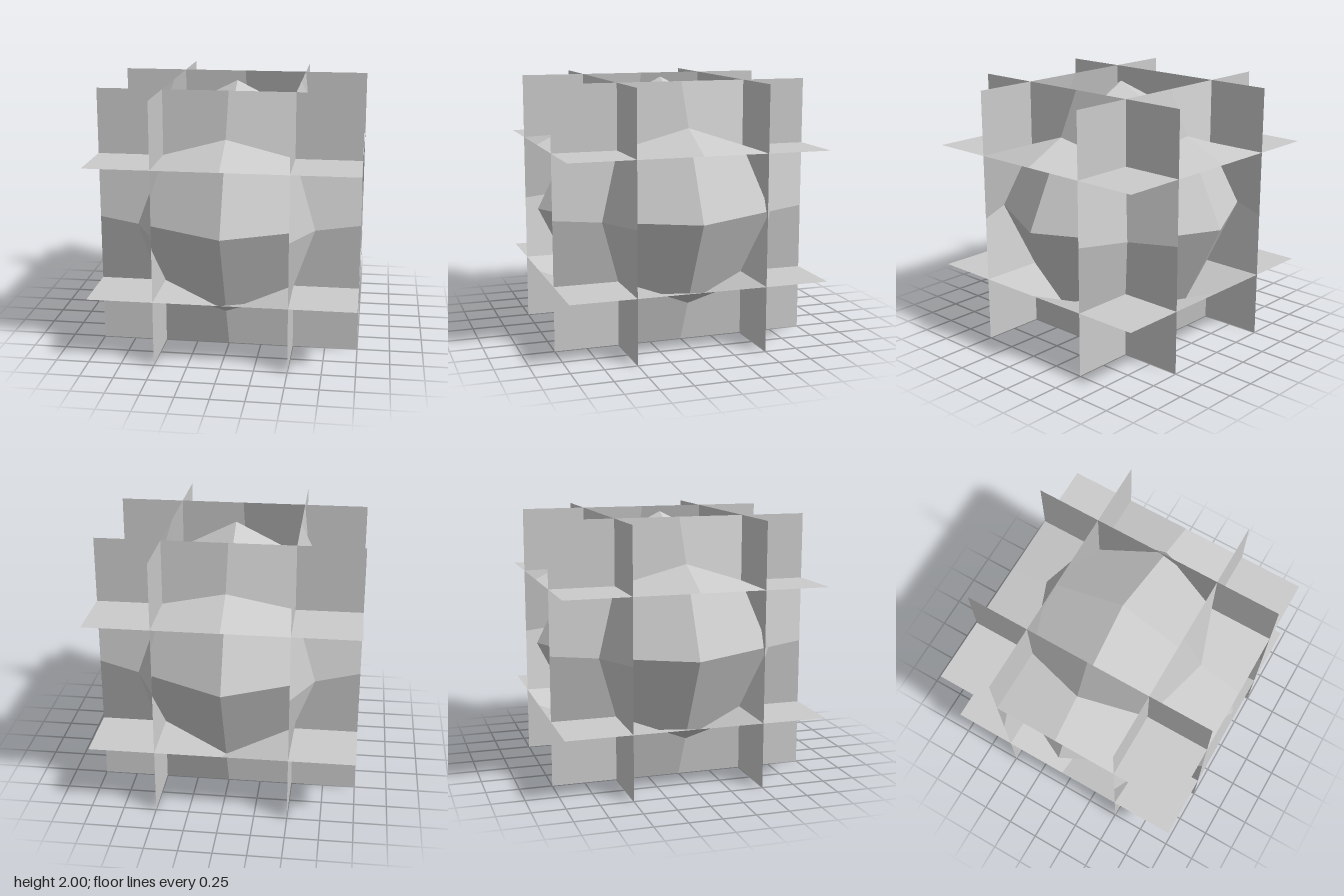
import * as THREE from 'three';

// Grid point of a panel facing +z: flat at 0.5, with the middle pushed out to a peak.
function panelPoint(i, j) {
  const u = i / 2, v = j / 2;
  if (i === 0 && j === 0) return new THREE.Vector3(0, 0, 1);
  if (Math.abs(i) + Math.abs(j) === 1) return new THREE.Vector3(u * 4 / 3, v * 4 / 3, 2 / 3);
  return new THREE.Vector3(u, v, 0.5);
}

// 4 x 4 facets, each split around its middle and shaded with one normal.
function panelGeometry() {
  const positions = [], normals = [];
  for (let i = -2; i < 2; i++) {
    for (let j = -2; j < 2; j++) {
      const c = [panelPoint(i, j), panelPoint(i + 1, j), panelPoint(i + 1, j + 1), panelPoint(i, j + 1)];
      const mid = new THREE.Vector3();
      c.forEach((p) => mid.addScaledVector(p, 0.25));
      const normal = c[2].clone().sub(c[0]).cross(c[3].clone().sub(c[1])).normalize();
      c.forEach((p, k) => {
        for (const q of [p, c[(k + 1) % 4], mid]) {
          positions.push(q.x, q.y, q.z);
          normals.push(normal.x, normal.y, normal.z);
        }
      });
    }
  }
  const geometry = new THREE.BufferGeometry();
  geometry.setAttribute('position', new THREE.Float32BufferAttribute(positions, 3));
  geometry.setAttribute('normal', new THREE.Float32BufferAttribute(normals, 3));
  return geometry;
}

export function createModel() {
  const model = new THREE.Group();
  model.name = 'interlockedPanels';
  const material = new THREE.MeshStandardMaterial({ color: 0xcccccc, side: THREE.DoubleSide });
  const geometry = panelGeometry();

  // Six crossing panels, one for each direction; their peaks close the core.
  const turns = {
    frontPanel: [0, 0], leftPanel: [0, Math.PI / 2], backPanel: [0, Math.PI],
    rightPanel: [0, -Math.PI / 2], topPanel: [-Math.PI / 2, 0], bottomPanel: [Math.PI / 2, 0],
  };
  for (const [name, [rx, ry]] of Object.entries(turns)) {
    const panel = new THREE.Mesh(geometry, material);
    panel.name = name;
    panel.rotation.set(rx, ry, 0);
    panel.position.y = 1;
    model.add(panel);
  }
  return model;
}
